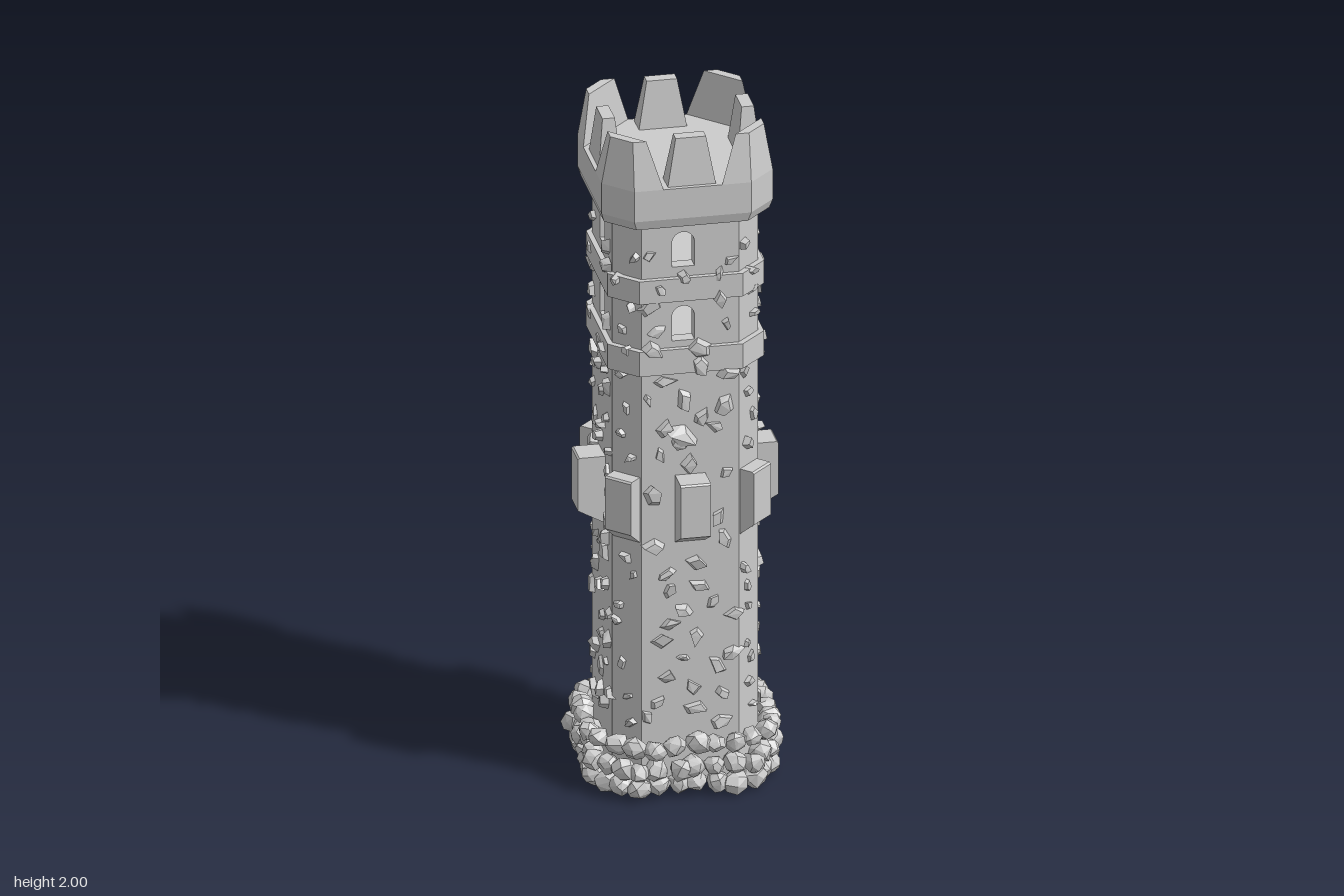
import * as THREE from 'three';
import { mergeGeometries } from 'three/addons/utils/BufferGeometryUtils.js';
import { ConvexGeometry } from 'three/addons/geometries/ConvexGeometry.js';

const material = new THREE.MeshStandardMaterial({ color: 0xcccccc, flatShading: true });
const V = (x, y, z) => new THREE.Vector3(x, y, z);

// Main sizes: half width of the shaft and half length of its long faces
const HALF = 0.207, FLAT = 0.138;
const DIAGONAL = (HALF + FLAT) / Math.SQRT2;
const BANDS = [[1.285, 1.36], [1.505, 1.575]];
const STOREYS = [
  { bottom: 1.36, top: 1.505, sill: 1.38, head: 1.485 },
  { bottom: 1.575, top: 1.745, sill: 1.605, head: 1.71 },
];

// Small seeded generator
let seed = 7;
function rand(a = 0, b = 1) {
  seed = (seed * 16807) % 2147483647;
  return a + (b - a) * (seed / 2147483647);
}

// Eight corners of the tower's cross-section
function octagon(half, flat, y) {
  const c = [[flat, half], [half, flat], [half, -flat], [flat, -half],
    [-flat, -half], [-half, -flat], [-half, flat], [-flat, half]];
  return c.map(([x, z]) => V(x, y, z));
}

// Convex solid through octagonal sections given as [half, flat, y]
const octSolid = (...sections) => new ConvexGeometry(sections.flatMap((s) => octagon(...s)));

// The eight faces of the shaft: direction, distance from the axis, width
const faces = [];
for (let i = 0; i < 8; i++) {
  const long = i % 2 === 0;
  faces.push({
    angle: (i * Math.PI) / 4,
    long,
    distance: long ? HALF : DIAGONAL,
    width: long ? FLAT * 2 : (HALF - FLAT) * Math.SQRT2,
    windowX: [-0.02, 0, 0, 0, 0.02, 0, 0, 0][i],
  });
}

// Wall panel, pierced by an arched window on the long faces
function wallPanel(face, storey) {
  const w = face.width / 2, depth = 0.04;
  const shape = new THREE.Shape();
  shape.moveTo(-w, storey.bottom).lineTo(w, storey.bottom).lineTo(w, storey.top).lineTo(-w, storey.top);
  if (face.long) {
    const r = 0.032, x = face.windowX, spring = storey.head - r;
    const hole = new THREE.Path();
    hole.moveTo(x - r, storey.sill).lineTo(x + r, storey.sill).lineTo(x + r, spring);
    hole.absarc(x, spring, r, 0, Math.PI, false);
    shape.holes.push(hole);
  }
  return new THREE.ExtrudeGeometry(shape, { depth, bevelEnabled: false, curveSegments: 8 })
    .translate(0, 0, face.distance - depth)
    .rotateY(face.angle);
}

// Flat-topped angular stone lying in the xy plane
function shard(radius, height) {
  const n = rand() < 0.6 ? 4 : 5, points = [];
  const turn = rand(0, Math.PI * 2), stretch = rand(0.5, 0.8);
  const leanX = rand(-0.3, 0.3) * radius, leanY = rand(-0.3, 0.3) * radius;
  for (let i = 0; i < n; i++) {
    const a = ((i + rand(-0.3, 0.3)) / n) * Math.PI * 2;
    const px = Math.cos(a) * radius, py = Math.sin(a) * radius * stretch;
    const x = px * Math.cos(turn) - py * Math.sin(turn);
    const y = px * Math.sin(turn) + py * Math.cos(turn);
    points.push(V(x, y, -0.008), V(x * 0.68 + leanX, y * 0.68 + leanY, height * rand(0.6, 1.1)));
  }
  return new ConvexGeometry(points);
}

// Stones scattered over one face, clear of its windows and corbel
function faceStones(face) {
  const stones = [], columns = face.long ? 3 : 1, rows = 20;
  for (let r = 0; r < rows; r++) {
    for (let c = 0; c < columns; c++) {
      const pitch = face.width / columns;
      const u = (c - (columns - 1) / 2) * pitch + rand(-0.36, 0.36) * pitch;
      const y = 0.22 + ((r + (c % 2) * 0.5) * 1.49) / rows + rand(-0.024, 0.024);
      const radius = face.long ? rand(0.022, 0.041) : rand(0.018, 0.028);
      const height = rand(0.01, 0.025);
      if (rand() < 0.08 || y > 1.71) continue;
      if (Math.abs(u) < 0.07 && y > 0.73 && y < 1.0) continue;
      if (face.long && Math.abs(u - face.windowX) < 0.06
        && STOREYS.some((s) => y > s.sill - 0.025 && y < s.head + 0.025)) continue;
      const onBand = BANDS.some(([a, b]) => y > a - 0.01 && y < b + 0.01);
      stones.push(shard(radius, height)
        .translate(u, y, face.distance + (onBand ? 0.01 : 0))
        .rotateY(face.angle));
    }
  }
  return stones;
}

// Rounded, faceted boulder
function boulder(size) {
  const points = [];
  for (let i = 0; i < 22; i++) {
    const h = 1 - (2 * (i + 0.5)) / 22, a = i * 2.4 + rand(-0.3, 0.3);
    const s = Math.sqrt(1 - h * h), k = size * rand(0.86, 1.12);
    points.push(V(Math.cos(a) * s * k * 1.05, h * k * 0.92, Math.sin(a) * s * k));
  }
  return new ConvexGeometry(points).rotateY(rand(0, 6)).rotateZ(rand(-0.4, 0.4));
}

// Courses of boulders laid around the foot
function footBoulders() {
  const boulders = [];
  for (const [y, half, count] of [[0.038, 0.235, 32], [0.088, 0.238, 32], [0.155, 0.243, 30]]) {
    const corners = octagon(half, half * 0.62, 0);
    const path = new THREE.CurvePath();
    corners.forEach((p, i) => path.add(new THREE.LineCurve3(p, corners[(i + 1) % 8])));
    for (let i = 0; i < count; i++) {
      const p = path.getPointAt(((i + rand(0.3, 0.7)) / count) % 1);
      const k = rand(0.97, 1.06);
      boulders.push(boulder(rand(0.03, 0.037))
        .translate(p.x * k * 1.03, y + rand(-0.006, 0.006), p.z * k * 0.96));
    }
  }
  return boulders;
}

// Projecting block with a sloped underside
function corbel(face) {
  const w = 0.043, back = face.distance - 0.02;
  const out = face.long ? 0.285 : 0.29;
  const points = [];
  for (const x of [-w, w]) {
    points.push(V(x, 0.755, back), V(x, 0.97, back), V(x, 0.81, out), V(x, 0.965, out), V(x, 0.97, out - 0.005));
  }
  return new ConvexGeometry(points).rotateY(face.angle);
}

// Tapered battlements: a block on each long side, an angled one at each corner
function sideMerlon() {
  const points = [];
  for (const [y, w, z0, z1] of [[1.85, 0.07, 0.163, 0.231], [2, 0.043, 0.18, 0.215]]) {
    points.push(V(-w, y, z0), V(w, y, z0), V(w, y, z1), V(-w, y, z1));
  }
  return new ConvexGeometry(points);
}

function cornerMerlon() {
  const points = [];
  for (const [y, a, b, c] of [[1.86, 0.083, 0.166, 0.243], [2, 0.127, 0.165, 0.218]]) {
    points.push(V(a, y, c), V(b, y, c), V(c, y, b), V(c, y, a));
  }
  return new ConvexGeometry(points);
}

export function createModel() {
  const tower = new THREE.Group();
  tower.name = 'tower';
  const add = (name, geometry) => {
    const mesh = new THREE.Mesh(geometry, material);
    mesh.name = name;
    tower.add(mesh);
  };

  // Shaft, bands and window storeys
  add('shaft', octSolid([HALF, FLAT, 0.03], [HALF, FLAT, 1.3]));
  BANDS.forEach(([a, b]) => add('band', octSolid([0.222, 0.147, a], [0.222, 0.147, b])));
  STOREYS.forEach((s) => add('windowStorey', mergeGeometries(faces.map((f) => wallPanel(f, s)))));

  // Stonework
  const stones = faces.flatMap(faceStones);
  stones.push(shard(0.06, 0.03).translate(-0.03, 1.1, HALF));
  add('wallStones', mergeGeometries(stones));
  add('footBoulders', mergeGeometries(footBoulders()));
  faces.forEach((f) => add('corbel', corbel(f)));

  // Crown with its battlements
  add('crown', octSolid([0.235, 0.158, 1.74], [0.243, 0.166, 1.768], [0.243, 0.166, 1.86]));
  for (let i = 0; i < 4; i++) {
    add('sideMerlon', sideMerlon().rotateY((i * Math.PI) / 2));
    add('cornerMerlon', cornerMerlon().rotateY((i * Math.PI) / 2));
  }
  return tower;
}
